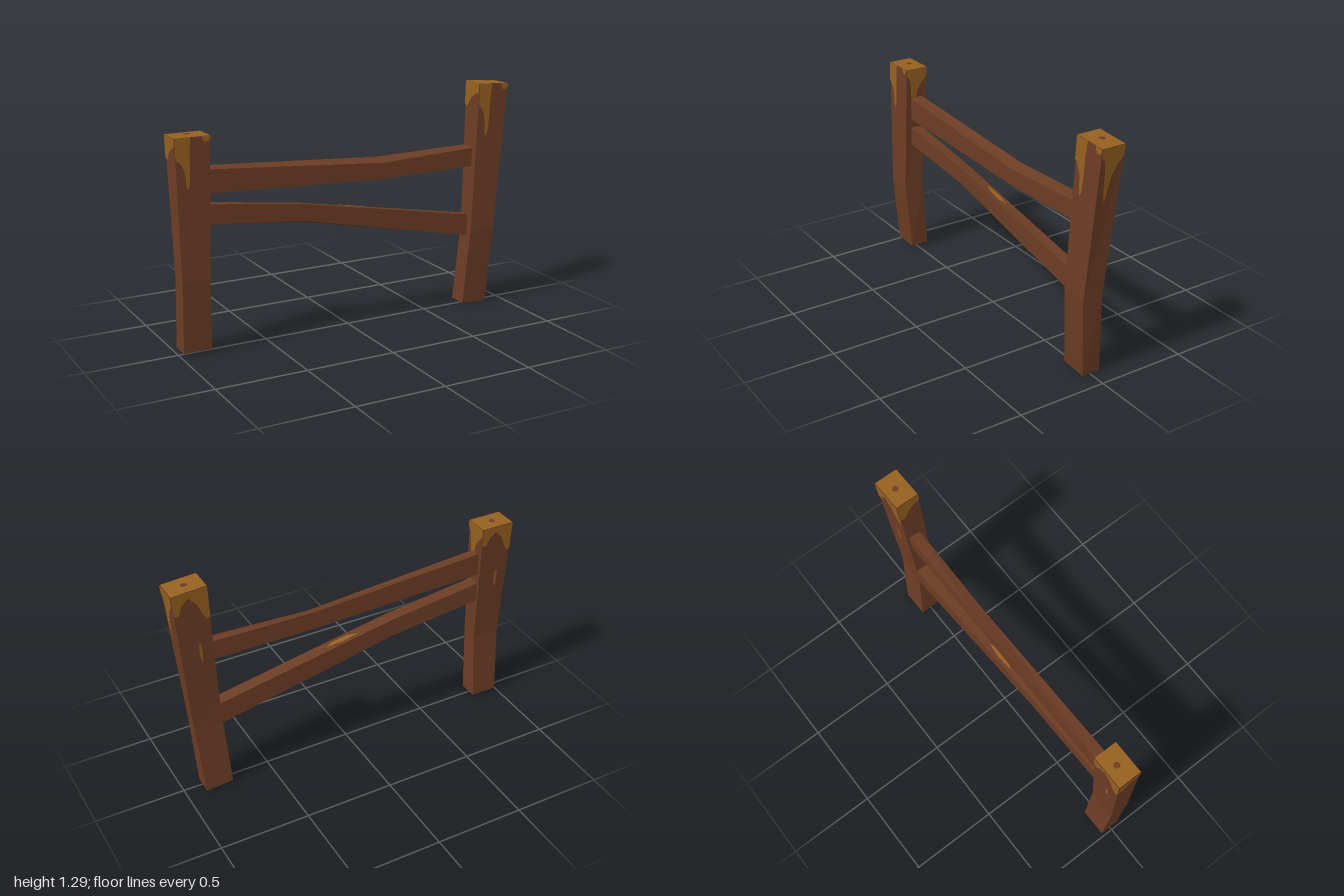
import * as THREE from 'three';

const wood = new THREE.MeshStandardMaterial({ color: 0x6b3c24 });
wood.name = 'brown wood';
const bare = new THREE.MeshStandardMaterial({ color: 0x95601f });
bare.name = 'ochre bare wood';
const dark = new THREE.MeshStandardMaterial({ color: 0x2a2526 });
dark.name = 'dark underside';

const v3 = (p) => new THREE.Vector3(...p);

function addMesh(parent, geometry, material, name) {
  const mesh = new THREE.Mesh(geometry, material);
  mesh.name = name;
  parent.add(mesh);
  return mesh;
}

// Flat-shaded geometry from four-cornered faces
function quads(list) {
  const points = [];
  for (const [a, b, c, d] of list) points.push(a, b, c, a, c, d);
  const g = new THREE.BufferGeometry().setFromPoints(points.map(v3));
  g.computeVertexNormals();
  return g;
}

// Side face i between two cross-sections
const side = (lo, hi, i) => [lo[i], lo[(i + 1) % 4], hi[(i + 1) % 4], hi[i]];

function loft(rings) {
  const faces = [];
  for (let k = 0; k < rings.length - 1; k++)
    for (let i = 0; i < 4; i++) faces.push(side(rings[k], rings[k + 1], i));
  return faces;
}

// Thin painted patch: a (u, v) outline laid just above a four-cornered face
function patch(face, outline) {
  const [a, b, c, d] = face.map(v3);
  const normal = c.clone().sub(a).cross(d.clone().sub(b)).normalize();
  const shape = new THREE.Shape(outline.map(([u, v]) => new THREE.Vector2(u, v)));
  const g = new THREE.ShapeGeometry(shape);
  const pos = g.attributes.position;
  for (let i = 0; i < pos.count; i++) {
    const u = pos.getX(i), v = pos.getY(i);
    const p = a.clone().lerp(b, u).lerp(d.clone().lerp(c, u), v).addScaledVector(normal, 0.004);
    pos.setXYZ(i, p.x, p.y, p.z);
  }
  g.computeVertexNormals();
  return g;
}

// Worn areas near the post top, per face: front, right, back, left
const wear = [
  [
    [[0, 1], [0, 0.85], [0.12, 0.83], [0.24, 0.77], [0.28, 0.66], [0.34, 0.645], [0.39, 0.68],
      [0.41, 0.8], [0.4, 0.9], [0.44, 1]],
    [[0.75, 1], [0.8, 0.965], [0.92, 0.96], [1, 0.98], [1, 1]],
  ],
  [
    [[0, 1], [0, 0.95], [0.15, 0.92], [0.21, 0.86], [0.27, 0.7], [0.35, 0.65], [0.42, 0.72],
      [0.55, 0.82], [0.74, 0.885], [1, 0.93], [1, 1]],
  ],
  [
    [[0, 1], [0, 0.86], [0.12, 0.85], [0.25, 0.92], [0.45, 0.955], [0.65, 0.9], [0.8, 0.81],
      [0.9, 0.77], [1, 0.78], [1, 1]],
    [[0.57, 0.61], [0.55, 0.52], [0.61, 0.45], [0.65, 0.53], [0.63, 0.6]],
  ],
  [
    [[0, 1], [0, 0.84], [0.2, 0.83], [0.45, 0.89], [0.7, 0.92], [1, 0.94], [1, 1]],
  ],
];

// Knot on the top of each post
const knot = Array.from({ length: 12 }, (_, i) => {
  const t = (i / 12) * Math.PI * 2;
  return [0.5 + 0.09 * Math.cos(t), 0.54 + 0.13 * Math.sin(t)];
});

function makePost(name, height) {
  const post = new THREE.Group();
  post.name = name;
  const knee = height * 0.35;
  // Corners: front left, front right, back right, back left as drawn from above
  const rings = [
    [[-0.0775, 0, 0.045], [0.0775, 0, 0.045], [0.0775, 0, -0.062], [-0.0775, 0, -0.062]],
    [[-0.083, knee, 0.075], [0.071, knee, 0.075], [0.081, knee, -0.034], [-0.08, knee, -0.034]],
    [[-0.0935, height, 0.058], [0.0965, height, 0.058], [0.0965, height, -0.075], [-0.0935, height, -0.075]],
  ];
  addMesh(post, quads(loft(rings)), wood, 'postSides');
  addMesh(post, quads([rings[2]]), bare, 'postTop');
  addMesh(post, quads([[...rings[0]].reverse()]), dark, 'postBottom');
  addMesh(post, patch(rings[2], knot), wood, 'postKnot');
  wear.forEach((outlines, i) => {
    for (const o of outlines) addMesh(post, patch(side(rings[1], rings[2], i), o), bare, 'wornPaint');
  });
  return post;
}

// Rail sections: [x, bottom front, bottom back, top back, top front, front z, back z]
function makeRail(name, sections, seg, face, outline) {
  const rail = new THREE.Group();
  rail.name = name;
  const rings = sections.map(([x, bf, bb, tb, tf, zf, zb]) =>
    [[x, bf, zf], [x, bb, zb], [x, tb, zb], [x, tf, zf]]);
  const faces = loft(rings);
  faces.push(rings[rings.length - 1], [...rings[0]].reverse());
  addMesh(rail, quads(faces), wood, 'railBeam');
  addMesh(rail, patch(side(rings[seg], rings[seg + 1], face), outline), bare, 'wornPatch');
  return rail;
}

export function createModel() {
  const fence = new THREE.Group();
  fence.name = 'fence';

  // Upright short post and leaning tall post
  const shortPost = makePost('shortPost', 1.137);
  shortPost.position.set(-0.907, 0.025, 0);
  const tallPost = makePost('tallPost', 1.285);
  tallPost.position.set(0.8125, 0.011, 0);
  tallPost.rotation.z = -0.068;
  fence.add(shortPost, tallPost);

  // Bent cross rails
  fence.add(makeRail('upperRail', [
    [-0.86, 0.858, 0.86, 0.993, 0.985, 0.03, -0.038],
    [0.21, 0.814, 0.825, 0.928, 0.906, 0.03, -0.033],
    [0.84, 0.826, 0.83, 0.941, 0.932, 0.03, -0.038],
  ], 0, 0, [[0.3, 0.72], [0.6, 0.76], [0.65, 0.85], [0.4, 0.9], [0.2, 0.82]]));
  fence.add(makeRail('lowerRail', [
    [-0.86, 0.698, 0.69, 0.803, 0.806, 0.03, -0.038],
    [-0.28, 0.643, 0.622, 0.728, 0.735, 0.03, -0.033],
    [0.84, 0.403, 0.394, 0.526, 0.529, 0.03, -0.038],
  ], 1, 2, [[0.3, 0.18], [0.65, 0.24], [0.7, 0.32], [0.45, 0.36], [0.25, 0.28]]));

  return fence;
}
